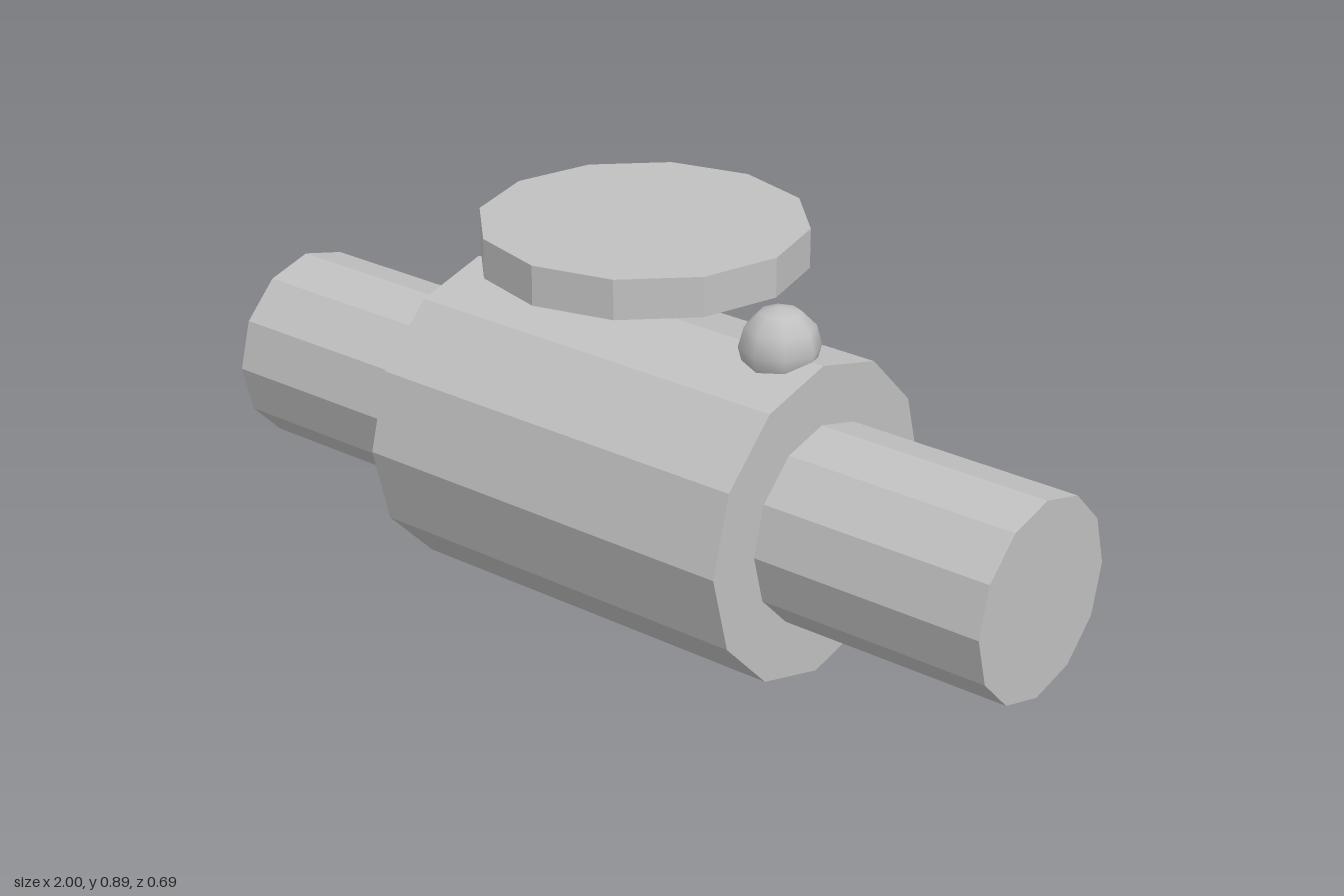
import * as THREE from 'three';

export function createModel() {
  const model = new THREE.Group();
  const flatGrey = new THREE.MeshStandardMaterial({ color: 0xc0c0c0 });
  flatGrey.name = 'grey';

  const add = (name, geometry, x, y) => {
    const mesh = new THREE.Mesh(geometry, flatGrey);
    mesh.name = name;
    mesh.position.set(x, y, 0);
    model.add(mesh);
  };

  // Twelve-sided cylinder with hard facets
  const drum = (radius, length) => {
    const faceted = new THREE.CylinderGeometry(radius, radius, length, 12).toNonIndexed();
    faceted.computeVertexNormals();
    return faceted;
  };

  const radius = 0.343, halfBody = 0.464;

  // Main barrel lying along x
  add('body', drum(radius, halfBody * 2).rotateZ(Math.PI / 2), 0, radius);

  // Narrower pipe on each end
  const pipeLength = 1 - halfBody;
  for (const side of [-1, 1]) {
    add(side > 0 ? 'leftPipe' : 'rightPipe',
      drum(0.214, pipeLength).rotateZ(Math.PI / 2), side * (halfBody + pipeLength / 2), radius);
  }

  // Flat disc hovering over the barrel
  add('topDisc', drum(radius, 0.085), 0, 0.843);

  // Small round knob sunk into the top of the barrel
  add('knob', new THREE.SphereGeometry(0.085, 8, 6), 0.355, 0.7);

  return model;
}
